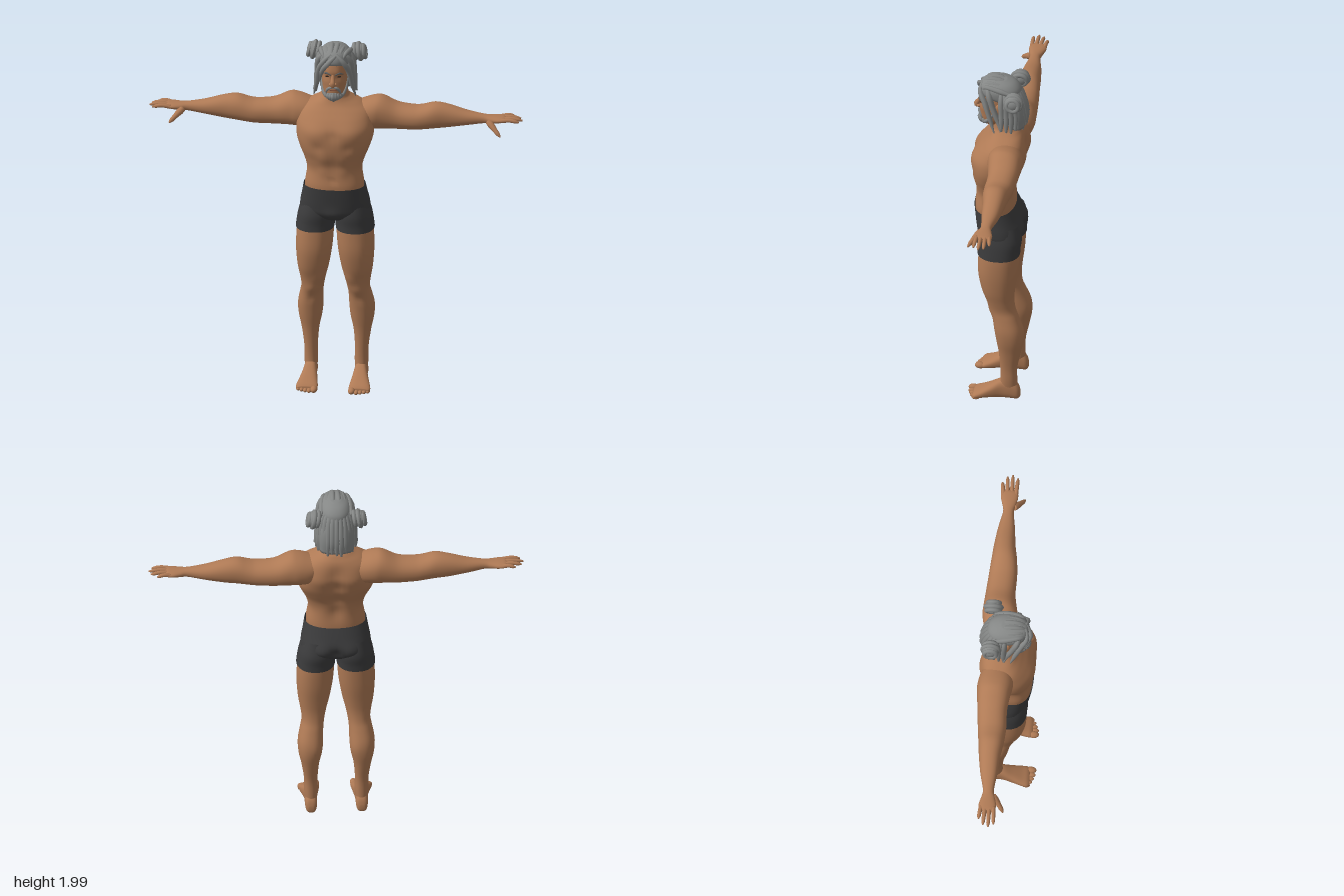
import * as THREE from 'three';

const mat = (name, color, open) => {
  const m = new THREE.MeshStandardMaterial({ color });
  m.name = name;
  if (open) m.side = THREE.DoubleSide;
  return m;
};
const SKIN = mat('skin', 0xaf7a55), HAIR = mat('greyHair', 0x858786), SHORTS = mat('charcoalCloth', 0x3c3c3d, true);
const LIP = mat('lips', 0x8a5843), EYE = mat('eyes', 0x33271f), SHADE = mat('darkGreyHair', 0x5e6060);

// Skin a list of point rings into a smooth closed (or open) surface
function skinRings(rings, caps = true) {
  const n = rings[0].length, pos = [], idx = [];
  rings.forEach(r => r.forEach(p => pos.push(p.x, p.y, p.z)));
  for (let i = 0; i < rings.length - 1; i++) for (let j = 0; j < n; j++) {
    const a = i * n + j, b = i * n + (j + 1) % n;
    idx.push(a, b, a + n, b, b + n, a + n);
  }
  if (caps) [0, rings.length - 1].forEach(i => {
    const c = rings[i].reduce((s, p) => s.add(p), new THREE.Vector3()).divideScalar(n);
    const pole = pos.length / 3;
    pos.push(c.x, c.y, c.z);
    for (let j = 0; j < n; j++) {
      const a = i * n + j, b = i * n + (j + 1) % n;
      i ? idx.push(pole, a, b) : idx.push(pole, b, a);
    }
  });
  const g = new THREE.BufferGeometry();
  g.setAttribute('position', new THREE.Float32BufferAttribute(pos, 3));
  g.setIndex(idx);
  g.computeVertexNormals();
  return g;
}

const spline = (a, b, c, d, t) =>
  b + 0.5 * t * (c - a + t * (2 * a - 5 * b + 4 * c - d + t * (3 * (b - c) + d - a)));
const place = {
  x: (t, u, v) => new THREE.Vector3(t, u, v),
  y: (t, u, v) => new THREE.Vector3(v, t, u),
  z: (t, u, v) => new THREE.Vector3(u, v, t),
};

// Loft along an axis. Rows: [t, uMin, uMax, vMin, vMax]; bumps: [|x|, y, z, radius, height]
function loft(axis, rows, { sides = 32, power = 2.2, bumps = [], caps = true, steps = 4 } = {}) {
  const rings = [], last = rows.length - 1;
  for (let k = 0; k <= last * steps; k++) {
    const i = Math.min(Math.floor(k / steps), last - 1), f = k / steps - i;
    const at = o => rows[Math.min(last, Math.max(0, i + o))];
    const [t, u0, u1, v0, v1] = rows[0].map((_, c) => spline(at(-1)[c], at(0)[c], at(1)[c], at(2)[c], f));
    const mid = place[axis](t, (u0 + u1) / 2, (v0 + v1) / 2), ring = [];
    for (let j = 0; j < sides; j++) {
      const a = j / sides * Math.PI * 2, e = 2 / power;
      const c = Math.sign(Math.cos(a)) * Math.abs(Math.cos(a)) ** e;
      const s = Math.sign(Math.sin(a)) * Math.abs(Math.sin(a)) ** e;
      const p = place[axis](t, (u0 + u1) / 2 + c * (u1 - u0) / 2, (v0 + v1) / 2 + s * (v1 - v0) / 2);
      let push = 0;
      for (const [x, y, z, r, h] of bumps)
        push += h * Math.exp(-((Math.abs(p.x) - x) ** 2 + (p.y - y) ** 2 + (p.z - z) ** 2) / (r * r));
      ring.push(p.addScaledVector(p.clone().sub(mid).normalize(), push));
    }
    rings.push(ring);
  }
  return skinRings(rings, caps);
}
// Symmetric upright loft. Rows: [y, zBack, zFront, halfWidth]
const trunk = (rows, o) => loft('y', rows.map(([y, b, f, w]) => [y, b, f, -w, w]), o);

// Tapered tube through points, with one radius per evenly spaced station
function sweep(points, radii, sides = 10, steps = 14) {
  const curve = new THREE.CatmullRomCurve3(points.map(p => new THREE.Vector3(...p)));
  const { normals, binormals } = curve.computeFrenetFrames(steps);
  const rings = [];
  for (let i = 0; i <= steps; i++) {
    const q = i / steps * (radii.length - 1), k = Math.min(Math.floor(q), radii.length - 2);
    const r = THREE.MathUtils.lerp(radii[k], radii[k + 1], q - k), c = curve.getPointAt(i / steps);
    rings.push(Array.from({ length: sides }, (_, j) => {
      const a = j / sides * Math.PI * 2;
      return c.clone().addScaledVector(normals[i], Math.cos(a) * r).addScaledVector(binormals[i], Math.sin(a) * r);
    }));
  }
  return skinRings(rings);
}
const ball = (x, y, z, rx, ry, rz) => new THREE.SphereGeometry(1, 20, 14).scale(rx, ry, rz).translate(x, y, z);

// Mirror a geometry across x = 0, keeping faces outward
function mirrored(g) {
  const m = g.clone().scale(-1, 1, 1), a = m.index.array;
  for (let i = 0; i < a.length; i += 3) [a[i], a[i + 1]] = [a[i + 1], a[i]];
  m.computeVertexNormals();
  return m;
}

export function createModel() {
  const model = new THREE.Group();
  const add = (name, g, m) => {
    const mesh = new THREE.Mesh(g, m);
    mesh.name = name;
    model.add(mesh);
  };
  const pair = (name, g, m) => { add('left' + name, g, m); add('right' + name, mirrored(g), m); };

  // Torso and neck, with chest, belly and back muscles
  add('torso', trunk([
    [1.14, -.08, .13, .155], [1.2, -.08, .134, .157], [1.28, -.075, .125, .147], [1.34, -.086, .134, .16],
    [1.4, -.112, .148, .184], [1.46, -.135, .15, .203], [1.52, -.148, .143, .207], [1.57, -.146, .115, .2],
    [1.61, -.138, .082, .185], [1.642, -.126, .055, .14], [1.67, -.108, .042, .09], [1.7, -.09, .038, .067],
    [1.8, -.075, .03, .06],
  ], { sides: 64, power: 2.4, steps: 6, bumps: [
    [.09, 1.51, .13, .06, .01], [0, 1.5, .14, .03, -.008], [.08, 1.43, .14, .03, -.007],
    [.05, 1.36, .13, .03, .005], [.05, 1.28, .12, .03, .005], [0, 1.32, .13, .03, -.004], [0, 1.235, .13, .014, -.008],
    [0, 1.28, -.08, .05, -.012], [0, 1.38, -.1, .05, -.018], [0, 1.48, -.14, .05, -.02], [0, 1.57, -.14, .05, -.014],
    [.1, 1.54, -.14, .06, .008], [.05, 1.28, -.07, .05, .006], [.17, 1.45, -.08, .06, .008],
  ] }), SKIN);

  // Arms and palms
  pair('Arm', loft('x', [
    [.08, 1.53, 1.62, -.11, 0], [.14, 1.49, 1.643, -.138, .035], [.2, 1.484, 1.662, -.15, .04],
    [.25, 1.484, 1.664, -.148, .03], [.33, 1.484, 1.627, -.141, .018], [.42, 1.486, 1.617, -.133, .02],
    [.47, 1.49, 1.624, -.128, .018], [.53, 1.497, 1.64, -.122, .012], [.6, 1.505, 1.63, -.115, 0],
    [.7, 1.522, 1.602, -.1, -.01], [.79, 1.537, 1.587, -.08, -.022], [.83, 1.541, 1.583, -.086, -.014],
    [.87, 1.546, 1.582, -.097, -.005], [.9, 1.552, 1.58, -.097, -.007], [.912, 1.558, 1.574, -.09, -.014],
  ]), SKIN);
  [[-.018, .983, -.012], [-.04, 1, -.04], [-.062, .99, -.068], [-.084, .957, -.094]].forEach(([z, x, tip], i) =>
    pair('Finger' + (i + 1), sweep([[.885, 1.565, z], [(x + .885) / 2, 1.571, (z + tip) / 2], [x, 1.563, tip]],
      [.012, .0115, .011, .0105, .01, .004]), SKIN));
  pair('Thumb', sweep([[.82, 1.556, -.025], [.855, 1.525, .008], [.888, 1.494, .034]],
    [.018, .019, .016, .013, .012, .004]), SKIN);

  // Legs with knee and calf shaping
  pair('Leg', loft('y', [
    [.05, -.112, -.01, .105, .165], [.12, -.108, -.02, .1, .17], [.2, -.11, -.018, .1, .172],
    [.3, -.13, -.01, .092, .186], [.38, -.144, .003, .076, .202], [.45, -.139, .014, .07, .205],
    [.52, -.115, .026, .068, .192], [.57, -.097, .042, .062, .183], [.63, -.09, .06, .05, .19],
    [.7, -.095, .085, .033, .202], [.8, -.108, .104, .016, .209], [.9, -.115, .104, .008, .206],
    [.98, -.118, .1, .006, .195],
  ], { sides: 40, bumps: [[.125, .56, .035, .03, .006], [.08, .63, .05, .035, .007], [.125, .5, .02, .02, -.004],
    [.1, .42, -.13, .04, .004], [.125, .12, -.06, .06, .002]] }), SKIN);

  // Feet and toes
  pair('Foot', loft('z', [
    [-.126, .122, .15, .015, .045], [-.112, .106, .165, 0, .085], [-.07, .102, .169, 0, .12],
    [-.02, .099, .171, 0, .112], [.03, .092, .182, 0, .082], [.08, .085, .195, 0, .054],
    [.11, .083, .199, 0, .04], [.125, .09, .19, .004, .028],
  ], { power: 2.5 }), SKIN);
  [[.101, .13, .019], [.126, .134, .013], [.147, .128, .012], [.167, .119, .012], [.186, .108, .012]].forEach(([x, z, r], i) =>
    pair('Toe' + (i + 1), ball(x, r * .9, z, r, r * .9, r + .01), SKIN));

  // Shorts: hip section and two leg cuffs
  add('shortsHips', trunk([
    [.975, -.05, .05, .03], [.995, -.1, .095, .1], [1.03, -.127, .119, .18], [1.07, -.13, .127, .186],
    [1.13, -.108, .134, .175], [1.186, -.084, .139, .165],
  ], { sides: 56, power: 2.3, caps: false, bumps: [[.08, 1.05, -.12, .05, .01], [0, 1.04, -.13, .035, -.022],
    [0, 1.03, .12, .04, .01]] }), SHORTS);
  pair('ShortsCuff', loft('y', [
    [.922, -.12, .109, .004, .211], [.96, -.122, .109, .002, .206], [1.02, -.128, .113, .001, .195], [1.1, -.11, .1, .02, .17],
  ], { caps: false }), SHORTS);

  // Head, nose, ears and face
  add('head', trunk([
    [1.688, .03, .085, .018], [1.702, -.01, .103, .04], [1.735, -.05, .112, .058], [1.775, -.07, .114, .066],
    [1.825, -.085, .115, .07], [1.87, -.09, .118, .072], [1.92, -.08, .108, .068], [1.955, -.05, .08, .045],
  ], { sides: 40, bumps: [[.03, 1.838, .11, .016, -.007], [.025, 1.86, .11, .02, .004], [.045, 1.805, .09, .02, .004]] }), SKIN);
  add('nose', sweep([[0, 1.852, .108], [0, 1.825, .121], [0, 1.8, .133], [0, 1.788, .11]], [.009, .01, .013, .015, .008]), SKIN);
  pair('Nostril', ball(.012, 1.797, .119, .009, .008, .011), SKIN);
  pair('Ear', ball(.074, 1.825, .002, .01, .031, .018), SKIN);
  pair('Eye', ball(.03, 1.838, .104, .013, .005, .004), EYE);
  pair('Eyebrow', sweep([[.01, 1.85, .118], [.03, 1.859, .113], [.053, 1.851, .096]], [.003, .006, .002], 8), SHADE);
  add('mouth', ball(0, 1.762, .114, .021, .005, .006), LIP);

  // Moustache and beard
  pair('Moustache', sweep([[0, 1.778, .118], [.02, 1.773, .114], [.036, 1.75, .1], [.038, 1.73, .092]], [.005, .008, .007, .003], 8), HAIR);
  for (let i = -3; i <= 3; i++)
    add('beardLock', sweep([[i * .012, 1.745 - Math.abs(i) * .002, .108 - i * i * .002],
      [i * .012, 1.718, .113 - i * i * .003], [i * .005, 1.684 + Math.abs(i) * .004, .09]], [.008, .014, .011, .002], 8), HAIR);
  pair('JawBeard', sweep([[.068, 1.8, .025], [.063, 1.755, .05], [.045, 1.72, .08], [.02, 1.705, .098]], [.004, .009, .011, .008], 8), HAIR);

  // Hair: crown and back volume
  add('hairCrown', trunk([
    [1.875, -.11, .06, .082], [1.9, -.112, .112, .086], [1.935, -.105, .116, .084], [1.965, -.075, .098, .064], [1.982, -.03, .06, .03],
  ], { sides: 36 }), HAIR);
  add('hairBack', trunk([
    [1.71, -.135, -.05, .088], [1.78, -.14, -.03, .092], [1.85, -.13, -.01, .088], [1.92, -.1, .01, .07],
  ], { power: 2.5 }), HAIR);

  // Long locks hanging around the sides and back
  for (let i = 0; i < 15; i++) {
    const a = (i / 14 - .5) * Math.PI * 1.04, s = Math.sin(a), c = Math.cos(a), w = (i % 3) * .008;
    add('backLock', sweep([[s * .05, 1.955, -.015 - c * .05], [s * .088, 1.9, -.02 - c * .085],
      [s * .098, 1.8, -.025 - c * .11], [s * (.106 + w * .3), 1.695 + w, -.025 - c * .112]], [.012, .016, .017, .016, .006], 8), HAIR);
  }
  // Locks combed back over the crown
  [.012, .035, .058].forEach((x, i) => pair('CrownLock', sweep([[x * .7, 1.93 - i * .005, .112 - i * .008],
    [x, 1.968 - i * .009, .075], [x * 1.25, 1.976 - i * .014, .015], [x * 1.4, 1.945 - i * .01, -.075]], [.006, .014, .016, .008], 8), HAIR));
  // Parted fringe framing the face
  pair('FrameLock', sweep([[.012, 1.962, .095], [.05, 1.925, .105], [.08, 1.86, .075], [.095, 1.77, .045], [.112, 1.695, .02]],
    [.008, .015, .015, .013, .003], 8), HAIR);
  pair('TempleLock', sweep([[.03, 1.965, .07], [.08, 1.92, .055], [.092, 1.84, .03], [.1, 1.76, 0], [.116, 1.71, -.015]],
    [.01, .017, .016, .015, .004], 8), HAIR);
  add('loosefringe', sweep([[.015, 1.955, .1], [-.025, 1.92, .122], [-.06, 1.865, .102], [-.075, 1.79, .07]],
    [.008, .015, .011, .002], 8), HAIR);

  // Coiled side buns
  pair('Bun', ball(.122, 1.908, -.085, .038, .045, .048), HAIR);
  [[.1, .036], [.122, .042], [.146, .031]].forEach(([x, r]) => pair('BunCoil',
    new THREE.TorusGeometry(r, .013, 8, 24).rotateY(Math.PI / 2).rotateZ(.2).translate(x, 1.908, -.085), HAIR));
  return model;
}
